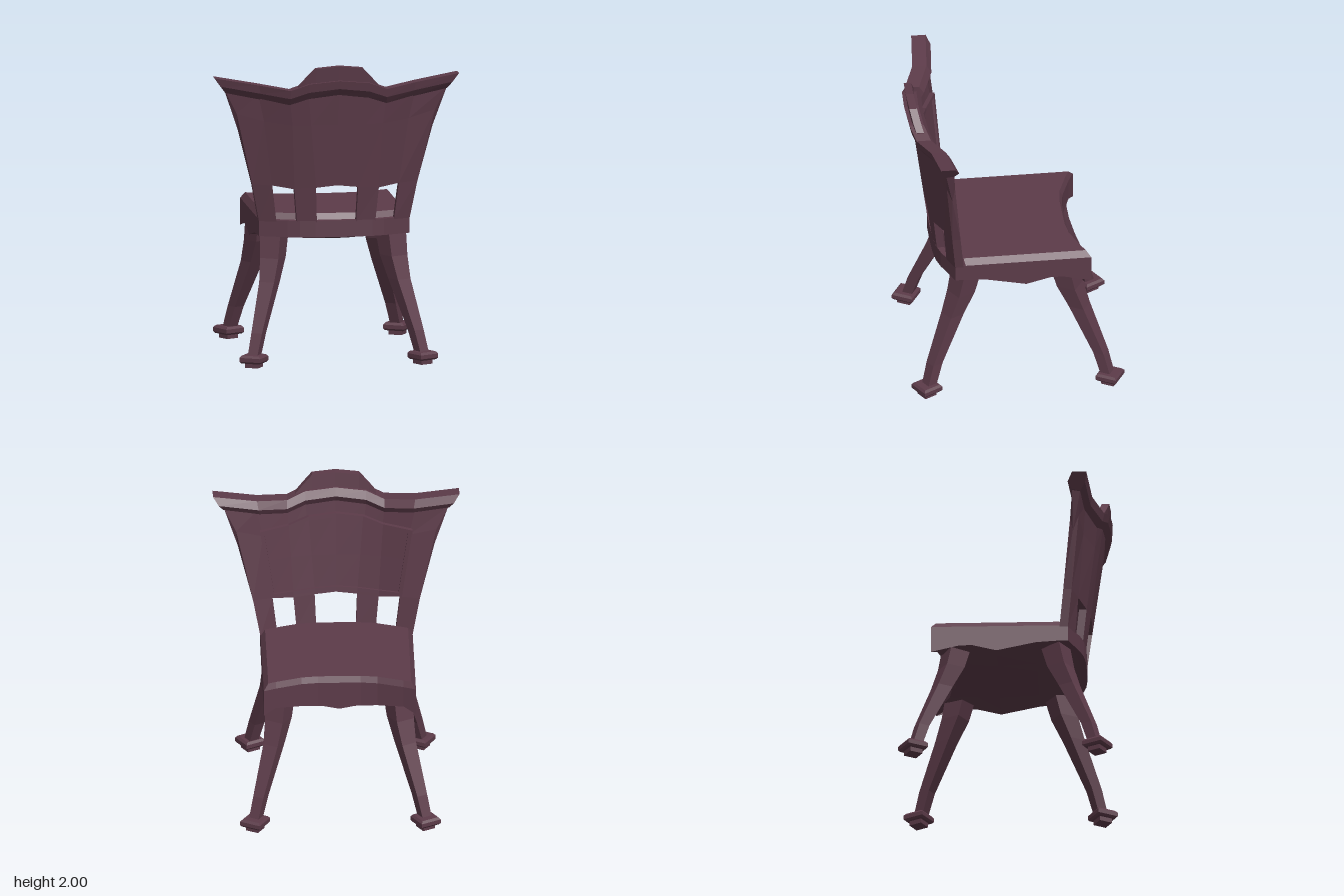
import * as THREE from 'three';

const wood = new THREE.MeshStandardMaterial({ color: 0x5c3b49, flatShading: true });
wood.name = 'dark plum wood';

// Closed flat-shaded solid through a row of equal-length rings
function loft(name, rings) {
  const pos = [];
  const tri = (...p) => p.forEach(v => pos.push(...v));
  const n = rings[0].length;
  for (let i = 0; i < rings.length - 1; i++) {
    for (let j = 0; j < n; j++) {
      const k = (j + 1) % n;
      const a = rings[i][j], b = rings[i + 1][j], c = rings[i + 1][k], d = rings[i][k];
      tri(a, b, c);
      tri(a, c, d);
    }
  }
  const cap = ring => {
    const mid = [0, 1, 2].map(q => ring.reduce((s, p) => s + p[q], 0) / n);
    ring.forEach((p, j) => tri(mid, p, ring[(j + 1) % n]));
  };
  cap(rings[0]);
  cap([...rings[rings.length - 1]].reverse());
  const g = new THREE.BufferGeometry();
  g.setAttribute('position', new THREE.Float32BufferAttribute(pos, 3));
  g.computeVertexNormals();
  const mesh = new THREE.Mesh(g, wood);
  mesh.name = name;
  return mesh;
}

// Piecewise linear lookup on |x|
function lerpTable(table, x) {
  x = Math.abs(x);
  for (let i = 1; i < table.length; i++) {
    const [x0, y0] = table[i - 1], [x1, y1] = table[i];
    if (x <= x1) return y0 + (y1 - y0) * (x - x0) / (x1 - x0);
  }
  return table[table.length - 1][1];
}

// Outer surface of the bowed, leaning back
const bow = [[0, .52], [.14, .518], [.24, .507], [.32, .485], [.5, .41], [.66, .385], [.82, .37]];
const backZ = (x, y) => lerpTable(bow, x) + Math.max(0, y - .95) * .14;

// Mirror stations (lists of points, x first) from the centre to both sides
const mirrored = half => [
  ...half.slice(1).reverse().map(st => st.map(([x, ...r]) => [-x, ...r])), ...half];

// Curved board: each station lists [x, y] from bottom to top
function board(name, stations, out, inn) {
  return loft(name, stations.map(st => [
    ...st.map(([x, y]) => [x, y, backZ(x, y) + out]),
    ...[...st].reverse().map(([x, y]) => [x, y, backZ(x, y) + inn])]));
}

// Two-station board placed on both sides
function boardPair(group, name, inner, outer, out, inn) {
  const flip = st => st.map(([x, y]) => [-x, y]);
  group.add(board(name + 'Left', [inner, outer], out, inn));
  group.add(board(name + 'Right', [flip(outer), flip(inner)], out, inn));
}

function makeBack() {
  const back = new THREE.Group();
  back.name = 'backrest';
  back.add(board('backRail', mirrored(
    [0, .14, .24, .32, .5].map(x => [[x, .84], [x, .95]])), 0, -.075));
  boardPair(back, 'innerPost', [[.13, .94], [.14, 1.176]], [[.26, .94], [.28, 1.166]], 0, -.05);
  boardPair(back, 'outerPost', [[.39, .94], [.42, 1.186]], [[.5, .94], [.548, 1.19]], 0, -.055);
  back.add(board('backSplat', mirrored([
    [[0, 1.19], [0, 1.6], [0, 1.83]],
    [[.14, 1.175], [.18, 1.6], [.2, 1.81]],
    [[.28, 1.165], [.3, 1.6], [.32, 1.77]],
    [[.42, 1.185], [.48, 1.62], [.52, 1.8]],
    [[.548, 1.19], [.658, 1.67], [.735, 1.825]]]), 0, -.055));

  // Raised inner panel with a moulded rim
  const low = [[0, 1.215], [.14, 1.205], [.28, 1.195], [.43, 1.2]];
  const high = [[0, 1.74], [.18, 1.72], [.31, 1.675], [.5, 1.665]];
  back.add(board('innerPanel', mirrored(low.map((p, i) =>
    [p, [(p[0] + high[i][0]) / 2, 1.45], high[i]])), -.04, -.07));
  const t = .025;
  back.add(board('panelRimBottom', mirrored(low.map(([x, y]) => [[x, y], [x, y + t]])), -.04, -.085));
  back.add(board('panelRimTop', mirrored(high.map(([x, y]) => [[x, y - t], [x, y]])), -.04, -.085));
  boardPair(back, 'panelRimSide', [[.405, 1.2], [.475, 1.665]], [[.43, 1.2], [.5, 1.665]], -.04, -.085);

  // Moulded crest rail: [bottom x, bottom y, top x, top y]
  const crest = [[0, 1.805, 0, 1.905], [.2, 1.78, .2, 1.885], [.32, 1.737, .32, 1.838],
    [.5, 1.765, .52, 1.868], [.735, 1.812, .81, 1.917]];
  const section = [[0, 0], [.45, .03], [1, .035], [1, -.06], [.5, -.085], [.1, -.055]];
  const rings = mirrored(crest.map(([xb, yb, xt, yt]) => section.map(([f, d]) => {
    const x = xb + (xt - xb) * f, y = yb + (yt - yb) * f;
    return [x, y, backZ(x, y) + d];
  })));
  back.add(loft('crestRail', rings));
  back.add(board('crown', mirrored([
    [[0, 1.86], [0, 2]], [[.155, 1.85], [.155, 1.985]],
    [[.22, 1.84], [.22, 1.915]], [[.265, 1.83], [.265, 1.865]]]), .01, -.04));
  return back;
}

// Seat block with bowed front and back and a scalloped apron
function makeSeat() {
  const frontZ = x => lerpTable([[0, -.375], [.14, -.375], [.25, -.39], [.42, -.452], [.5, -.49]], x);
  const frontY = [[0, .76], [.1, .78], [.25, .79], [.42, .808], [.5, .77]];
  const side = [[.2, .83], [-.06, .775], [-.22, .815], [-.42, .812]];
  const half = [0, .1, .14, .25, .42, .47, .5].map(x => {
    const edge = x === .5, top = edge ? .95 : .99, f = frontZ(x), b = lerpTable(bow, x) - .045;
    const bottom = side.map(([z, y]) => {
      const k = x / .5;
      return [x, .78 + (y - .78) * k * k, Math.max(z, f + .03)];
    });
    return [[x, .84, b], [x, .95, b], [x, top, b - .025], [x, top, f + (edge ? 0 : .018)],
      [x, .95, f], [x, lerpTable(frontY, x), f], ...bottom.reverse()];
  });
  return loft('seat', mirrored(half));
}

// Splayed leg with a square foot, turned outward along its own diagonal
function makeLeg(name, sx, sz) {
  const leg = new THREE.Group();
  leg.name = name;
  const u = [sx * .5, sz * .866], v = [-u[1], u[0]];
  const ring = ([y, x, z, w]) => [[1, 1], [-1, 1], [-1, -1], [1, -1]].map(([a, b]) => [
    sx * x + w / 2 * (a * u[0] + b * v[0]), y, sz * z + w / 2 * (a * u[1] + b * v[1])]);
  const add = (part, rows) => leg.add(loft(part, rows.map(ring)));
  add('shaft', [[.07, .555, .59, .068], [.22, .52, .55, .075], [.54, .43, .42, .105],
    [.69, .4, .36, .13], [.86, .385, .32, .145]]);
  add('footPad', [[.03, .56, .605, .125], [.042, .56, .605, .145],
    [.068, .56, .605, .145], [.083, .56, .605, .12]]);
  add('footPeg', [[0, .56, .605, .09], [.035, .56, .605, .09]]);
  return leg;
}

export function createModel() {
  const chair = new THREE.Group();
  chair.name = 'chair';
  chair.add(makeSeat(), makeBack());
  for (const sx of [-1, 1]) {
    for (const sz of [-1, 1]) {
      chair.add(makeLeg((sz > 0 ? 'backrestLeg' : 'seatEndLeg') + (sx > 0 ? 'Left' : 'Right'), sx, sz));
    }
  }
  return chair;
}
